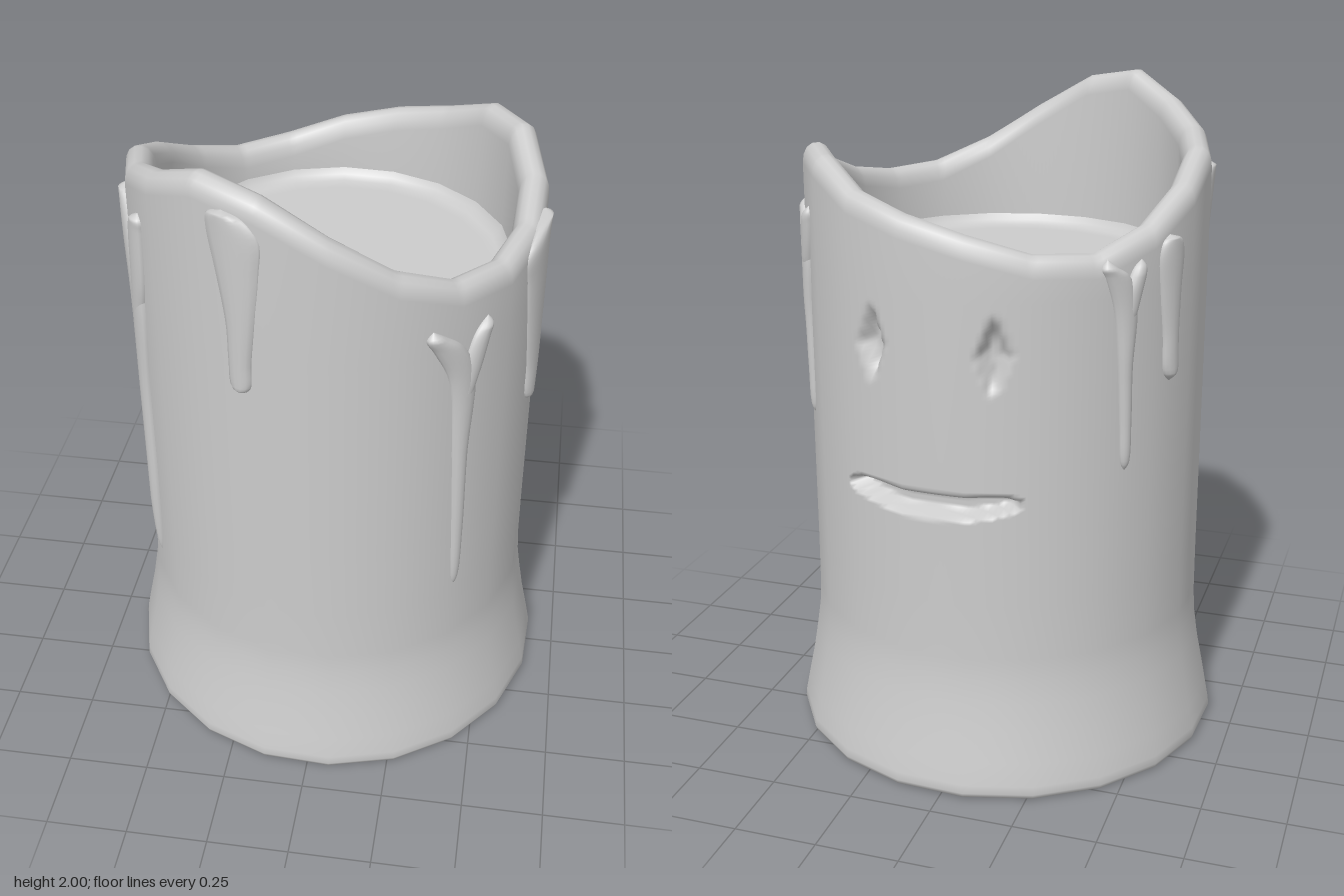
import * as THREE from 'three';

const RAD = Math.PI / 180, SIDES = 20, STEP = 360 / SIDES, PHASE = 6, COLS = 240;
const R = 0.605; // radius of the candle wall
const material = new THREE.MeshStandardMaterial({ color: 0xcccccc });

// Height of the melted rim at each of the 20 corners, going round from the front
const RIM = [1.87, 1.76, 1.69, 1.68, 1.71, 1.77, 1.84, 1.83, 1.76, 1.715,
  1.67, 1.62, 1.61, 1.67, 1.76, 1.835, 1.87, 1.93, 2.0, 1.97];

function rimHeight(deg) {
  const s = (((deg - PHASE) / STEP) % SIDES + SIDES) % SIDES, k = Math.floor(s);
  return THREE.MathUtils.lerp(RIM[k], RIM[(k + 1) % SIDES], s - k);
}

// Point at an angle (0 = front, 90 = +x), radius and height
const polar = (deg, r, y) => [r * Math.sin(deg * RAD), y, r * Math.cos(deg * RAD)];

// Surface of stacked rings, closed round the columns
function ringSurface(rows, cols, point) {
  const pos = [], index = [];
  for (let j = 0; j < rows; j++) {
    for (let i = 0; i < cols; i++) {
      pos.push(...point(j, i));
      if (j === rows - 1) continue;
      const a = j * cols + i, b = j * cols + (i + 1) % cols;
      index.push(a, b, b + cols, a, b + cols, a + cols);
    }
  }
  const g = new THREE.BufferGeometry();
  g.setAttribute('position', new THREE.Float32BufferAttribute(pos, 3));
  g.setIndex(index);
  g.computeVertexNormals();
  return g;
}

// Pull a round surface onto 20 flat sides while keeping its smooth normals
function squareOff(g) {
  const p = g.attributes.position;
  for (let i = 0; i < p.count; i++) {
    const x = p.getX(i), z = p.getZ(i);
    const deg = Math.atan2(x, z) / RAD - PHASE;
    const off = ((deg % STEP) + STEP) % STEP - STEP / 2;
    const k = Math.cos(STEP / 2 * RAD) / Math.cos(off * RAD);
    p.setXYZ(i, x * k, p.getY(i), z * k);
  }
  return g;
}

// Depth of the face carved into the back
function carving(deg, y) {
  const smooth = THREE.MathUtils.smoothstep;
  let depth = 0;
  for (const eye of [158, 194]) {
    const u = Math.abs(deg - eye) * RAD * R / 0.052, v = Math.abs(y - 1.345) / 0.135;
    depth += 0.045 * smooth(1 - u - v, 0, 0.55);
  }
  const u = (deg - 175) / 26;
  if (Math.abs(u) < 1) {
    const half = 0.038 * Math.pow(1 - u * u, 0.35);
    const v = (y - 0.895 - 0.02 * u * u) / half;
    depth += 0.055 * smooth(1 - v * v, 0, 0.75);
  }
  return depth;
}

// A drip clinging to the wall: points are [sideways, height, half width], from tip to top
function drip(name, deg, points, thick = 0.024) {
  const curve = new THREE.CatmullRomCurve3(points.map(p => new THREE.Vector3(...p)));
  const rows = 33, cols = 14;
  const g = ringSurface(rows, cols, (j, i) => {
    const c = curve.getPoint(j / (rows - 1)), t = i / cols * Math.PI * 2;
    const w = j === 0 || j === rows - 1 ? 0 : Math.max(c.z, 0.002);
    const side = c.x - w * Math.cos(t);
    const out = Math.min(thick, w * 0.9) * Math.sin(t);
    return polar(deg + side / R / RAD, 0.597 + out, c.y);
  });
  const m = new THREE.Mesh(g, material);
  m.name = name;
  return m;
}

export function createModel() {
  const group = new THREE.Group();
  const add = (name, geometry) => {
    const m = new THREE.Mesh(geometry, material);
    m.name = name;
    group.add(m);
  };
  const ringsFrom = (name, list) => add(name, squareOff(ringSurface(list.length, COLS,
    (j, i) => polar(PHASE + i * 360 / COLS, ...list[j]))));

  // Wall: flared foot, straight side, rounded rim and inner lip
  const wall = [[0.65, 0], [0.664, 0.006], [0.67, 0.02], [0.667, 0.045], [0.654, 0.11],
    [0.635, 0.2], [0.62, 0.29], [0.61, 0.36], [0.606, 0.43], [R, 0.6]];
  for (let y = 0.8; y < 1.5; y += 0.01) wall.push([R, y]);
  const lip = [[R, -0.06], [0.602, -0.035], [0.592, -0.014], [0.575, -0.002], [0.555, 0],
    [0.537, -0.009], [0.524, -0.028], [0.517, -0.06]];
  const rows = wall.length + lip.length + 1;
  add('candleWall', squareOff(ringSurface(rows, COLS, (j, i) => {
    const deg = PHASE + i * 360 / COLS;
    if (j < wall.length) {
      const [r, y] = wall[j];
      return polar(deg, r - carving(deg, y), y);
    }
    if (j === rows - 1) return polar(deg, 0.515, 1.5);
    const [r, dy] = lip[j - wall.length];
    return polar(deg, r, rimHeight(deg) + dy);
  })));

  // Wax pool inside and flat underside
  ringsFrom('waxPool', [[0.517, 1.515], [0.505, 1.492], [0.485, 1.48], [0.45, 1.475], [0, 1.475]]);
  ringsFrom('underside', [[0, 0], [0.65, 0]]);

  // Plain drips
  group.add(
    drip('frontDrip', -18, [[0.01, 1.375, 0], [0.01, 1.4, 0.03], [0.01, 1.48, 0.036],
      [0.015, 1.6, 0.045], [0.01, 1.76, 0.068], [0.0, 1.87, 0.08], [-0.02, 1.915, 0.055], [-0.03, 1.93, 0]]),
    drip('wideSideDrip', 80, [[-0.02, 1.115, 0], [-0.015, 1.15, 0.035], [0, 1.25, 0.055],
      [0.0, 1.4, 0.075], [0.0, 1.55, 0.098], [0.0, 1.65, 0.108], [0.03, 1.695, 0.07], [0.07, 1.715, 0]]),
    drip('backSideDrip', 247, [[0.01, 1.21, 0], [0.01, 1.24, 0.03], [0.005, 1.35, 0.035],
      [0, 1.48, 0.05], [0, 1.58, 0.06], [0, 1.62, 0.045], [-0.01, 1.64, 0]]));

  // Forked drips: a long run with a short arm to the right
  const forked = [
    { name: 'frontForkedDrip', deg: 43, tip: 0.62, fork: 1.4, top: 1.575, w: 0.046, left: -0.1, right: 0.08 },
    { name: 'sideForkedDrip', deg: -63, tip: 0.5, fork: 1.5, top: 1.78, w: 0.06, left: -0.11, right: 0.06 },
    { name: 'cornerForkedDrip', deg: 117, tip: 1.02, fork: 1.52, top: 1.68, w: 0.04, left: -0.06, right: 0.05 },
    { name: 'backForkedDrip', deg: 230, tip: 0.98, fork: 1.46, top: 1.6, w: 0.04, left: -0.06, right: 0.05 },
  ];
  for (const { name, deg, tip, fork, top, w, left, right } of forked) {
    const at = t => THREE.MathUtils.lerp(tip, fork, t);
    const d = new THREE.Group();
    d.name = name;
    d.add(
      drip('run', deg, [[0.012, tip, 0], [0.012, at(0.05), 0.014], [0.01, at(0.3), w * 0.5],
        [0.004, at(0.65), w * 0.62], [0, fork, w], [left * 0.5, (fork + top) / 2 + 0.02, w],
        [left * 0.9, top - 0.025, w * 0.65], [left, top, 0]]),
      drip('arm', deg, [[0, at(0.75), 0], [0.008, at(0.9), w * 0.5], [right * 0.45, fork + 0.03, w * 0.8],
        [right * 0.8, top - 0.06, w * 0.7], [right, top - 0.03, w * 0.5], [right * 1.1, top - 0.01, 0]]));
    group.add(d);
  }
  return group;
}
